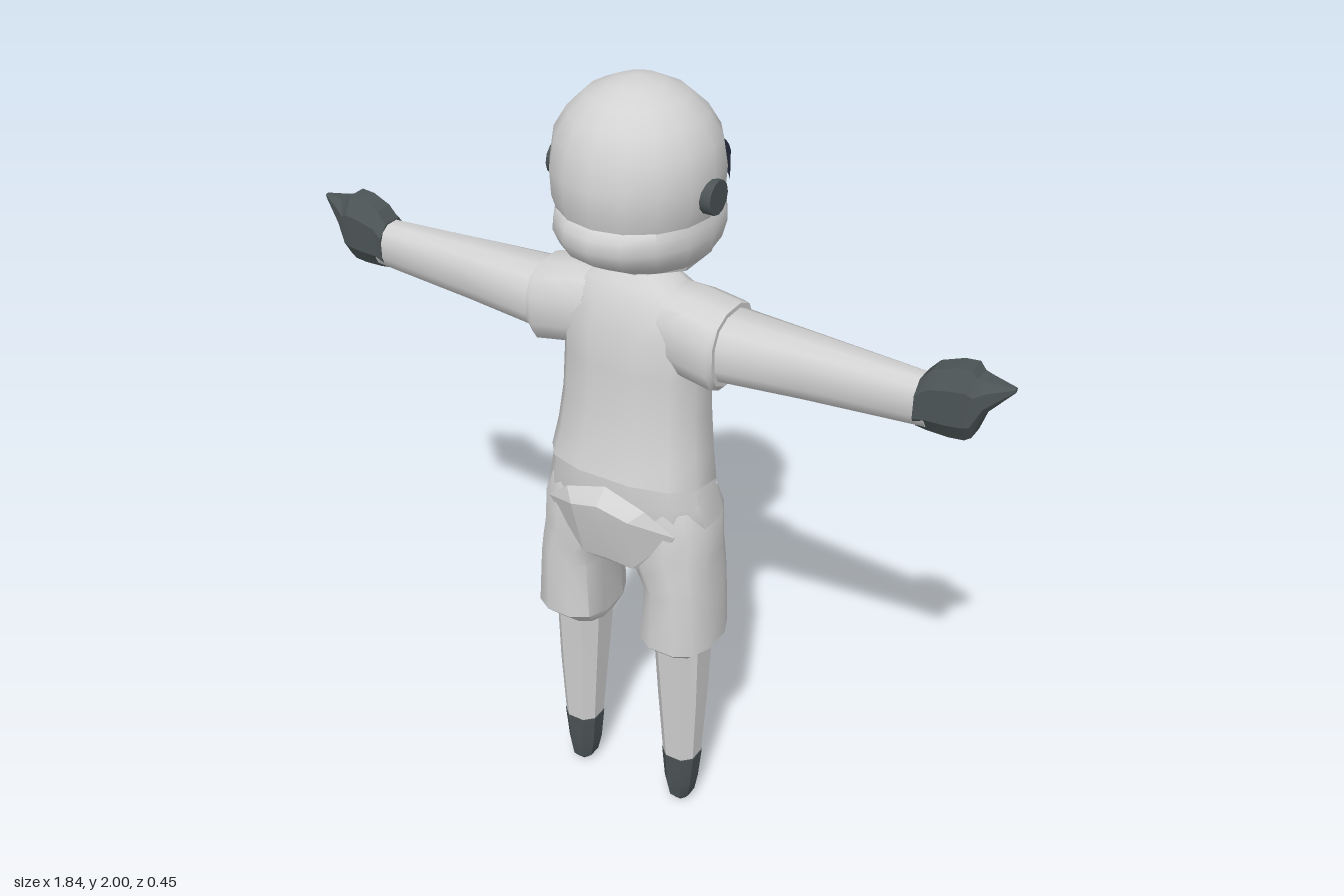
import * as THREE from 'three';
import { toCreasedNormals } from 'three/addons/utils/BufferGeometryUtils.js';
import { ConvexGeometry } from 'three/addons/geometries/ConvexGeometry.js';

// Closed loft through oval sections [t, u0, u1, v0, v1, tilt].
// Along y: u is x, v is z. Along x: u is y, v is z. side = -1 mirrors in x.
function loft(sections, { axis = 'y', side = 1, sides = 12, power = 2.5, crease = 0.7, flat = true } = {}) {
  const pos = [], index = [];
  const phase = flat ? Math.PI / sides : 0;
  const curve = (c) => Math.sign(c) * Math.min(1, Math.pow(Math.abs(c), 2 / power));
  const add = (t, u, v, tilt) => {
    if (axis === 'y') pos.push(side * u, t + tilt * v, v);
    else pos.push(side * t, u, v);
  };
  for (const [t, u0, u1, v0, v1, tilt = 0] of sections) {
    for (let j = 0; j < sides; j++) {
      const a = phase + (j / sides) * Math.PI * 2;
      const k = flat ? 1 / curve(Math.cos(phase)) : 1;
      add(t, (u0 + u1) / 2 + ((u1 - u0) / 2) * curve(Math.cos(a)) * k,
        (v0 + v1) / 2 + ((v1 - v0) / 2) * curve(Math.sin(a)) * k, tilt);
    }
  }
  const last = (sections.length - 1) * sides, c0 = sections.length * sides;
  for (const [t, u0, u1, v0, v1, tilt = 0] of [sections[0], sections[sections.length - 1]]) {
    add(t, (u0 + u1) / 2, (v0 + v1) / 2, tilt);
  }
  for (let j = 0; j < sides; j++) {
    const n = (j + 1) % sides;
    for (let i = 0; i < last; i += sides) {
      index.push(i + j, i + sides + j, i + n, i + n, i + sides + j, i + sides + n);
    }
    index.push(c0, j, n, c0 + 1, last + n, last + j);
  }
  // Turn the faces outward by the sign of the enclosed volume
  const p = (i) => new THREE.Vector3().fromArray(pos, index[i] * 3);
  let volume = 0;
  for (let i = 0; i < index.length; i += 3) volume += p(i).dot(p(i + 1).cross(p(i + 2)));
  if (volume < 0) index.reverse();
  const g = new THREE.BufferGeometry();
  g.setAttribute('position', new THREE.Float32BufferAttribute(pos, 3));
  g.setIndex(index);
  return toCreasedNormals(g, crease);
}

export function createModel() {
  const model = new THREE.Group();
  model.name = 'helmetedFigure';
  const material = (name, color, extra = {}) => {
    const m = new THREE.MeshStandardMaterial({ color, ...extra });
    m.name = name;
    return m;
  };
  const suit = material('paleGreySuit', 0xd2d2d2);
  const dark = material('darkGrey', 0x4c5456);
  const glass = material('visorNavy', 0x2b3142, { side: THREE.DoubleSide });
  const add = (name, geometry, mat) => {
    const mesh = new THREE.Mesh(geometry, mat);
    mesh.name = name;
    model.add(mesh);
    return mesh;
  };

  // Helmet dome, jaw guard and neck
  const round = { sides: 16, power: 2, crease: 1.2, flat: false };
  add('helmetDome', loft([
    [1.69, -0.178, 0.178, -0.18, 0.2],
    [1.74, -0.193, 0.193, -0.19, 0.215],
    [1.80, -0.197, 0.197, -0.193, 0.217],
    [1.87, -0.188, 0.188, -0.175, 0.2],
    [1.92, -0.157, 0.157, -0.145, 0.172],
    [1.96, -0.115, 0.115, -0.1, 0.128],
    [1.985, -0.06, 0.06, -0.05, 0.075],
    [2.0, -0.002, 0.002, 0.012, 0.016],
  ], round), suit);
  add('jawGuard', loft([
    [1.565, -0.11, 0.11, -0.14, 0.09],
    [1.585, -0.15, 0.15, -0.17, 0.14],
    [1.62, -0.18, 0.18, -0.2, 0.2],
    [1.66, -0.189, 0.189, -0.224, 0.225],
    [1.69, -0.187, 0.187, -0.215, 0.22],
    [1.71, -0.182, 0.182, -0.185, 0.206],
  ], round), suit);
  add('chinStrap', loft([
    [1.545, -0.08, 0.08, -0.12, 0.04],
    [1.56, -0.125, 0.125, -0.165, 0.07],
    [1.59, -0.135, 0.135, -0.165, 0.08],
  ], { sides: 8, crease: 0.3 }), suit);
  add('neck', loft([[1.48, -0.07, 0.07, -0.05, 0.07], [1.6, -0.06, 0.06, -0.05, 0.06]]), suit);

  // Visor band, ear pads and microphone
  const half = 1.0;
  const band = new THREE.CylinderGeometry(1, 1, 1, 14, 1, true, Math.PI - half, 2 * half);
  band.scale(0.201, 0.07, 0.21).translate(0, 1.785, 0.012);
  add('visor', band, glass);
  for (const s of [1, -1]) {
    const pad = new THREE.CylinderGeometry(0.04, 0.04, 0.035, 12);
    pad.rotateZ(Math.PI / 2).translate(s * 0.194, 1.765, 0.025);
    add(s > 0 ? 'leftEarPad' : 'rightEarPad', toCreasedNormals(pad, 0.7), dark);
  }
  const mic = add('microphone', new THREE.CylinderGeometry(0.012, 0.012, 0.08, 6), dark);
  mic.position.set(-0.125, 1.675, -0.188);
  mic.quaternion.setFromUnitVectors(new THREE.Vector3(0, 1, 0), new THREE.Vector3(-0.9, 0, -0.44).normalize());

  // Shirt with a slanted hem, and hips below it
  add('shirt', loft([
    [1.018, -0.205, 0.205, -0.1, 0.172, 0.18],
    [1.1, -0.192, 0.192, -0.102, 0.155, 0.1],
    [1.2, -0.182, 0.182, -0.102, 0.14],
    [1.32, -0.178, 0.178, -0.1, 0.13],
    [1.42, -0.185, 0.185, -0.095, 0.125],
    [1.49, -0.165, 0.165, -0.075, 0.1],
    [1.52, -0.12, 0.12, -0.06, 0.085],
    [1.55, -0.065, 0.065, -0.045, 0.06],
  ]), suit);
  add('hips', loft([
    [0.82, -0.1, 0.1, -0.06, 0.12],
    [0.87, -0.18, 0.18, -0.085, 0.145],
    [0.92, -0.224, 0.224, -0.102, 0.155],
    [0.99, -0.208, 0.208, -0.1, 0.165],
    [1.03, -0.198, 0.198, -0.093, 0.163, 0.15],
  ]), suit);

  // Faceted pouch below the hem
  const pouch = [[0, 1.02, 0.165], [0, 0.985, 0.205], [0, 0.92, 0.195], [0, 0.81, 0.165], [0, 0.83, 0.08]];
  for (const s of [1, -1]) {
    pouch.push([s * 0.11, 0.985, 0.165], [s * 0.08, 0.96, 0.195], [s * 0.18, 0.92, 0.14], [s * 0.07, 0.8, 0.158], [s * 0.1, 0.79, 0.13]);
  }
  add('pouch', toCreasedNormals(new ConvexGeometry(pouch.map((v) => new THREE.Vector3(...v))), 0.25), suit);

  for (const s of [1, -1]) {
    const name = (part) => (s > 0 ? 'left' : 'right') + part;
    const alongX = { axis: 'x', side: s };
    const alongY = { side: s };

    // Sleeve, arm and glove
    add(name('Sleeve'), loft([
      [0.1, 1.33, 1.525, -0.07, 0.1],
      [0.16, 1.315, 1.518, -0.085, 0.112],
      [0.235, 1.3, 1.505, -0.088, 0.112],
      [0.25, 1.315, 1.5, -0.084, 0.108],
    ], alongX), suit);
    add(name('Arm'), loft([
      [0.22, 1.323, 1.49, -0.076, 0.098],
      [0.45, 1.34, 1.483, -0.055, 0.08],
      [0.74, 1.358, 1.472, -0.032, 0.062],
    ], alongX), suit);
    add(name('Glove'), loft([
      [0.715, 1.36, 1.476, -0.036, 0.066],
      [0.74, 1.355, 1.505, -0.034, 0.062],
      [0.79, 1.352, 1.522, -0.042, 0.062],
      [0.825, 1.355, 1.526, -0.04, 0.06],
      [0.84, 1.365, 1.51, -0.034, 0.056],
      [0.862, 1.43, 1.506, -0.025, 0.048],
      [0.918, 1.492, 1.503, 0.008, 0.02],
    ], { ...alongX, sides: 8, crease: 0.4 }), dark);

    // Knee-length trouser leg, shin and boot
    add(name('TrouserLeg'), loft([
      [0.53, 0.075, 0.212, -0.038, 0.115],
      [0.57, 0.055, 0.248, -0.075, 0.155],
      [0.73, 0.066, 0.237, -0.08, 0.152],
      [0.78, 0.04, 0.233, -0.083, 0.152],
      [0.83, 0.0, 0.23, -0.085, 0.15],
      [0.92, 0.0, 0.224, -0.09, 0.15],
      [0.97, 0.02, 0.205, -0.08, 0.14],
    ], alongY), suit);
    add(name('Shin'), loft([
      [0.16, 0.108, 0.199, -0.002, 0.088],
      [0.35, 0.095, 0.208, -0.018, 0.1],
      [0.56, 0.082, 0.212, -0.04, 0.112],
    ], { ...alongY, sides: 8, crease: 0.5 }), suit);
    add(name('Boot'), loft([
      [0.0, 0.14, 0.17, 0.02, 0.062],
      [0.02, 0.124, 0.184, 0.008, 0.078],
      [0.07, 0.114, 0.192, 0.0, 0.086],
      [0.165, 0.106, 0.201, -0.004, 0.09],
    ], { ...alongY, sides: 8, crease: 0.5 }), dark);
  }
  return model;
}
